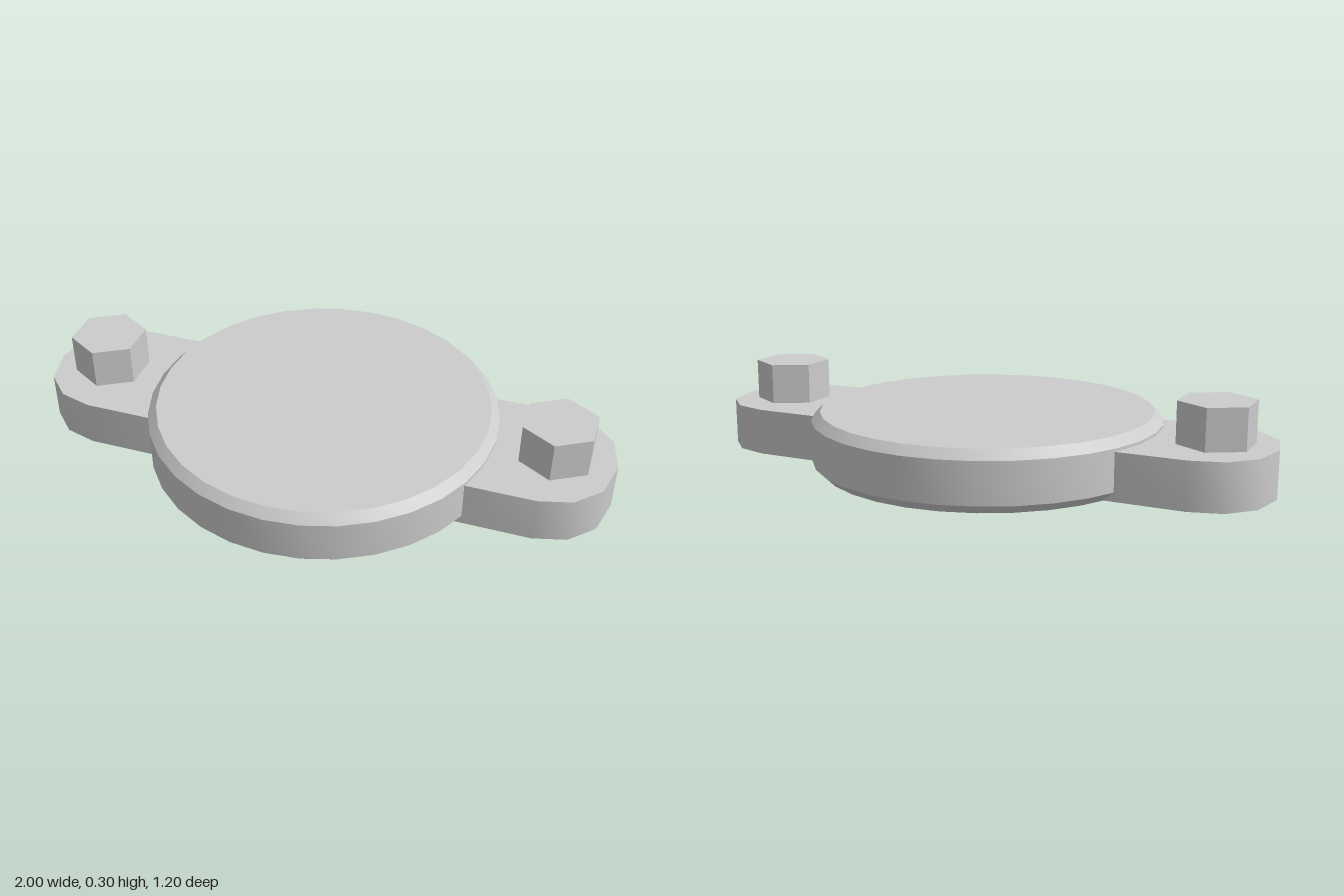
import * as THREE from 'three';
import { toCreasedNormals } from 'three/addons/utils/BufferGeometryUtils.js';

const material = new THREE.MeshStandardMaterial({ color: 0xcccccc });

function addPart(group, name, geometry, crease = 0.65) {
  const mesh = new THREE.Mesh(toCreasedNormals(geometry, crease), material);
  mesh.name = name;
  group.add(mesh);
  return mesh;
}

export function createModel() {
  const model = new THREE.Group();
  model.name = 'boltedCover';

  // Round cover plate with chamfered rims
  const profile = [[0, 0], [0.57, 0], [0.6, 0.03], [0.6, 0.17], [0.57, 0.2], [0, 0.2]]
    .map(([r, y]) => new THREE.Vector2(r, y));
  addPart(model, 'coverDisc', new THREE.LatheGeometry(profile, 32));

  // Faceted round end of a lug, from its tip to its straight side
  const end = [[0.97, 0.13], [0.89, 0.21], [0.78, 0.24], [0.48, 0.24]];
  const outline = [
    ...end.map(([x, z]) => [x, -z]).reverse(), [1, 0], ...end,
  ].map(([x, z]) => new THREE.Vector2(x, z));

  // A lug with a hex bolt on each side
  for (const [side, turn] of [['left', 0], ['right', Math.PI]]) {
    const ear = new THREE.Group();
    ear.name = side + 'Ear';
    ear.rotation.y = turn;

    const lug = new THREE.ExtrudeGeometry(new THREE.Shape(outline), { depth: 0.16, bevelEnabled: false });
    lug.rotateX(-Math.PI / 2);
    addPart(ear, side + 'Lug', lug);

    const bolt = addPart(ear, side + 'BoltHead', new THREE.CylinderGeometry(0.13, 0.13, 0.16, 6), 0.1);
    bolt.position.set(0.8, 0.22, 0);
    model.add(ear);
  }
  return model;
}
